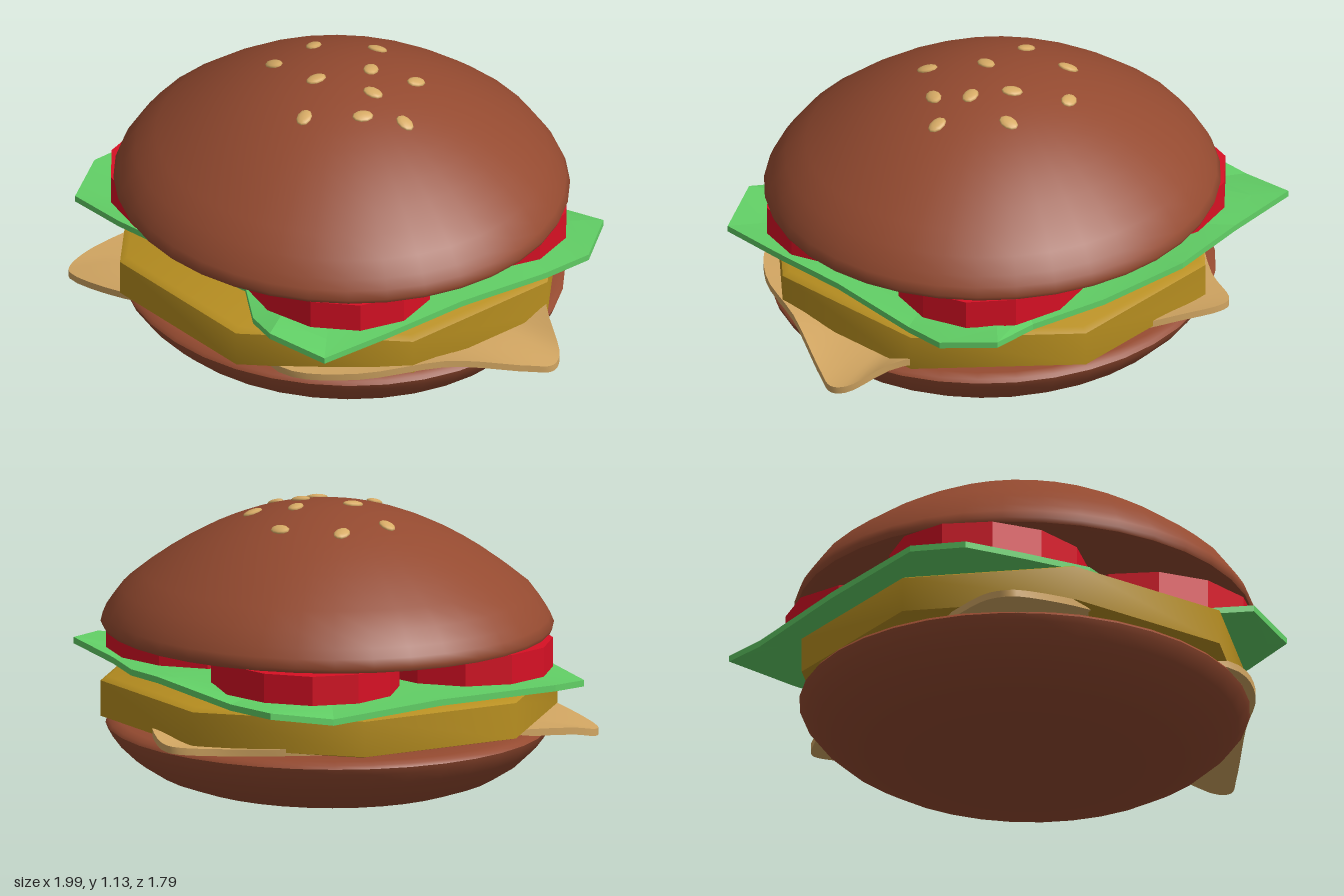
import * as THREE from 'three';
import { toCreasedNormals } from 'three/addons/utils/BufferGeometryUtils.js';

const CX = -0.095, CZ = 0.027; // centre of the stack

const mat = (name, color, extra = {}) => {
  const m = new THREE.MeshStandardMaterial({ color, ...extra });
  m.name = name;
  return m;
};

// Wavy slab: rings grow from the centre to an uneven [x, z, y] outline
function sheet(outline, baseY, thick, power, smooth) {
  const corners = outline.map(([x, z, y]) => new THREE.Vector3(x, y, z));
  const edge = smooth
    ? new THREE.CatmullRomCurve3(corners, true, 'centripetal').getPoints(96).slice(0, -1)
    : corners;
  const n = edge.length, rings = 8, pos = [], idx = [];
  for (const side of [1, -1]) {
    for (let r = 0; r <= rings; r++) {
      const t = r / rings;
      for (const p of edge) {
        const y = baseY + (p.y - baseY) * t ** power;
        pos.push(CX + (p.x - CX) * t, y + side * thick / 2, CZ + (p.z - CZ) * t);
      }
    }
  }
  const half = n * (rings + 1);
  for (let i = 0; i < n; i++) {
    const j = (i + 1) % n;
    for (let r = 0; r < rings; r++) {
      const a = r * n + i, b = r * n + j, c = a + n, d = b + n;
      idx.push(a, c, b, b, c, d);
      idx.push(half + a, half + b, half + c, half + b, half + d, half + c);
    }
    const a = rings * n + i, b = rings * n + j;
    idx.push(a, half + a, b, b, half + a, half + b);
  }
  // Outlines run from left front counter to the winding above when seen from the top
  for (let k = 0; k < idx.length; k += 3) {
    const s = new THREE.Vector3(), e = new THREE.Vector3(), f = new THREE.Vector3();
    s.fromArray(pos, idx[k] * 3); e.fromArray(pos, idx[k + 1] * 3); f.fromArray(pos, idx[k + 2] * 3);
    if (k === 6 * (rings - 1)) {
      const up = e.sub(s).cross(f.sub(s)).y;
      if (up < 0) for (let q = 0; q < idx.length; q += 3) [idx[q], idx[q + 1]] = [idx[q + 1], idx[q]];
      break;
    }
  }
  const g = new THREE.BufferGeometry();
  g.setAttribute('position', new THREE.Float32BufferAttribute(pos, 3));
  g.setIndex(idx);
  return toCreasedNormals(g, smooth ? 0.8 : 0.15);
}

export function createModel() {
  const root = new THREE.Group();
  root.name = 'burger';
  const bun = mat('bun brown', 0x944a30);
  const seed = mat('sesame tan', 0xd8ac66);
  const tomato = mat('tomato red', 0xd81024);
  const leaf = mat('lettuce green', 0x62d066, { side: THREE.DoubleSide });
  const pattyMat = mat('patty gold', 0xb88f20);
  const slice = mat('cheese tan', 0xd2a662, { side: THREE.DoubleSide });

  const add = (name, geo, material, x = 0, y = 0, z = 0) => {
    const m = new THREE.Mesh(geo, material);
    m.name = name;
    m.position.set(x, y, z);
    root.add(m);
    return m;
  };
  const lathe = (pts, segs, crease) => toCreasedNormals(
    new THREE.LatheGeometry(pts.map(([r, y]) => new THREE.Vector2(r, y)), segs), crease);

  // Bottom bun
  add('bottomBun', lathe([[0, 0], [0.3, 0.005], [0.46, 0.018], [0.58, 0.038], [0.69, 0.075],
    [0.78, 0.13], [0.84, 0.185], [0.875, 0.23], [0.885, 0.255], [0.875, 0.268], [0.84, 0.277],
    [0.78, 0.281], [0, 0.283]], 36, 0.9), bun, CX, 0, CZ).scale.z = 0.957;

  // Top bun: parabolic dome with a rounded rim
  const domeY = r => 1.122 - 0.5 * r * r;
  const top = [[0, 0.632], [0.8, 0.632], [0.87, 0.632], [0.897, 0.638], [0.905, 0.655], [0.89, 0.69],
    [0.865, 0.727]];
  for (let r = 0.82; r > 0.03; r -= 0.082) top.push([r, domeY(r)]);
  top.push([0, domeY(0)]);
  add('topBun', lathe(top, 36, 0.9), bun, CX, 0, CZ).scale.z = 0.957;

  // Sesame seeds: x, z, turn
  const seeds = [[-0.22, -0.26, 0.3], [0.07, -0.21, 1.57], [-0.4, -0.09, -1], [-0.07, -0.1, -0.9],
    [0.06, 0, 0.3], [0.25, 0, 0], [-0.39, 0.12, 0], [-0.15, 0.11, 1.4], [0.14, 0.12, 1.1], [-0.01, 0.29, -1]];
  const seedGeo = new THREE.SphereGeometry(1, 10, 6);
  const upAxis = new THREE.Vector3(0, 1, 0);
  for (const [x, z, turn] of seeds) {
    const dx = x - CX, dz = (z - CZ) / 0.957;
    const s = add('sesameSeed', seedGeo, seed, x, domeY(Math.hypot(dx, dz)) + 0.001, z);
    s.scale.set(0.042, 0.012, 0.03);
    s.quaternion.setFromUnitVectors(upAxis, new THREE.Vector3(dx, 1, dz).normalize())
      .multiply(new THREE.Quaternion().setFromAxisAngle(upAxis, turn));
  }

  // Four tomato slices
  for (const sx of [-1, 1]) for (const sz of [-1, 1]) {
    const t = add('tomatoSlice', toCreasedNormals(new THREE.CylinderGeometry(0.4, 0.4, 0.115, 12), 0.3),
      tomato, -0.115 + sx * 0.395, 0.575, 0.025 + sz * 0.345);
    t.scale.z = 0.88;
  }

  // Lettuce leaf
  add('lettuce', sheet([[-0.99, 0.52, 0.5], [-0.87, 0.72, 0.475], [-0.6, 0.73, 0.495],
    [-0.28, 0.72, 0.525], [0.05, 0.64, 0.47], [0.25, 0.77, 0.475], [0.42, 0.83, 0.51], [0.64, 0.74, 0.465],
    [0.67, 0.45, 0.475], [0.71, 0.1, 0.5], [0.74, -0.3, 0.48], [0.77, -0.49, 0.5], [0.64, -0.675, 0.52],
    [0.4, -0.64, 0.48], [0.1, -0.74, 0.5], [-0.25, -0.83, 0.545], [-0.65, -0.74, 0.5],
    [-0.95, -0.74, 0.52], [-0.99, -0.48, 0.475], [-0.99, 0, 0.5]], 0.49, 0.025, 3, false), leaf);

  // Eight-sided patty with softened edges
  const patty = add('patty', lathe([[0, 0.293], [0.85, 0.293], [0.9, 0.305], [0.9, 0.445], [0.87, 0.46],
    [0, 0.462]], 8, 0.9), pattyMat, CX, 0, 0.035);
  patty.rotation.y = Math.PI / 8;
  patty.scale.z = 0.98;

  // Cheese slice with drooping corners
  add('cheese', sheet([[0.99, -0.12, 0.25], [0.95, -0.03, 0.265], [0.8, 0.24, 0.325], [0.62, 0.56, 0.31],
    [0.4, 0.73, 0.295], [0.05, 0.68, 0.29], [-0.2, 0.76, 0.335], [-0.4, 0.84, 0.3], [-0.73, 0.865, 0.25],
    [-0.77, 0.83, 0.25], [-0.785, 0.72, 0.27], [-0.77, 0.35, 0.29], [-0.8, -0.1, 0.3], [-0.78, -0.38, 0.31],
    [-0.56, -0.7, 0.3], [-0.46, -0.88, 0.31], [-0.4, -0.895, 0.315], [-0.22, -0.83, 0.32],
    [0.05, -0.68, 0.3], [0.45, -0.52, 0.315], [0.77, -0.28, 0.33], [0.96, -0.18, 0.26]],
    0.286, 0.028, 6, true), slice);

  return root;
}
